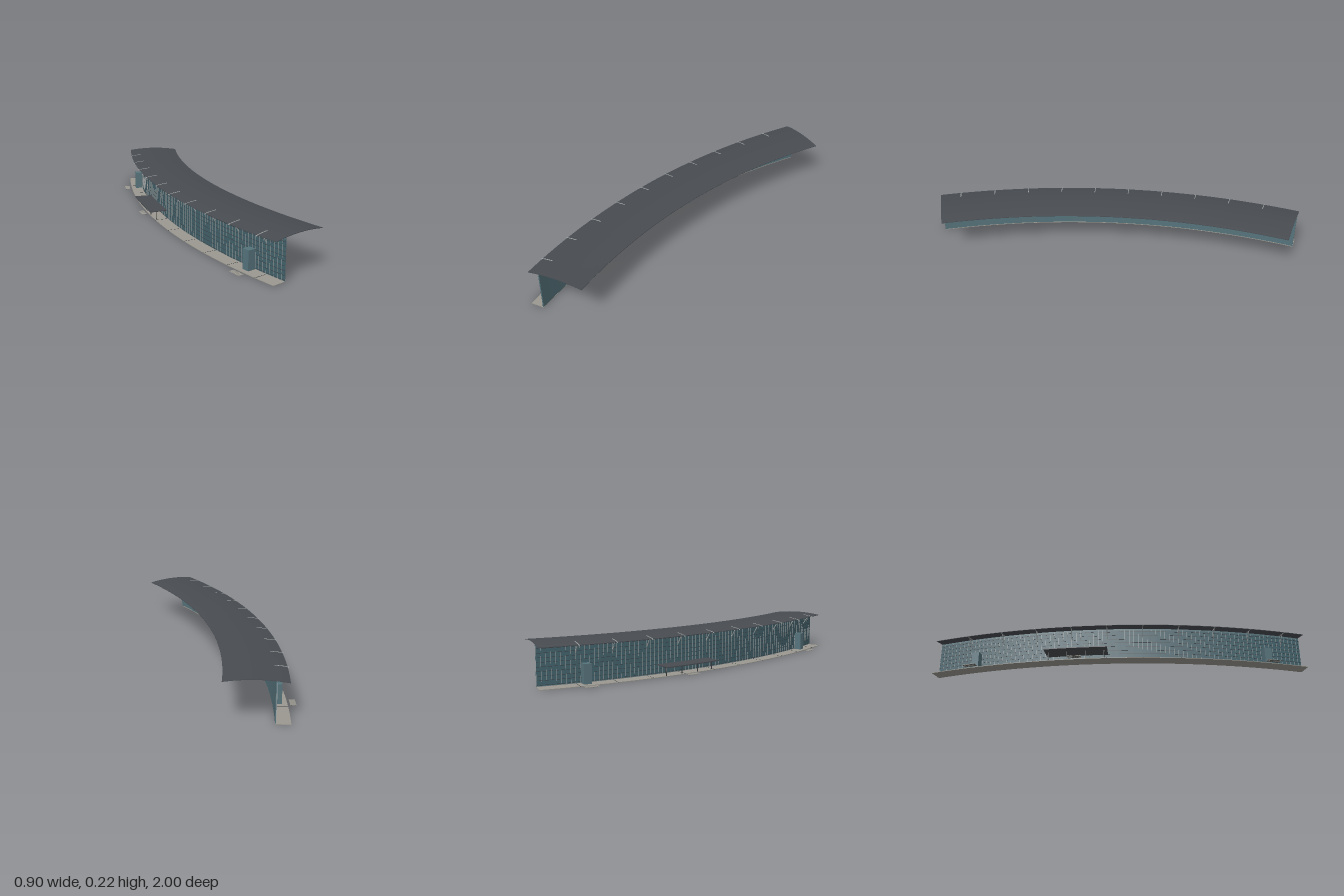
import * as THREE from 'three';

// The whole building is swept around one vertical axis
const CX = 3.078, CZ = 0.952;
const START = -0.75, END = 34;
const WALL = 3.42;

const at = (r, y, deg) => {
  const a = THREE.MathUtils.degToRad(deg);
  return [CX - r * Math.cos(a), y, CZ - r * Math.sin(a)];
};

// Sweeps a closed counter-clockwise (radius, height) profile between two angles
function arcGeometry(profile, a0, a1, steps) {
  const pos = [], index = [];
  profile.forEach((p, i) => {
    const q = profile[(i + 1) % profile.length];
    const base = pos.length / 3;
    for (let s = 0; s <= steps; s++) {
      const a = a0 + (a1 - a0) * s / steps;
      pos.push(...at(p[0], p[1], a), ...at(q[0], q[1], a));
      if (s < steps) {
        const k = base + s * 2;
        index.push(k, k + 1, k + 3, k, k + 3, k + 2);
      }
    }
  });
  const faces = THREE.ShapeUtils.triangulateShape(profile.map(p => new THREE.Vector2(...p)), []);
  for (const [a, flip] of [[a0, true], [a1, false]]) {
    const base = pos.length / 3;
    profile.forEach(p => pos.push(...at(p[0], p[1], a)));
    for (const [i, j, k] of faces) {
      index.push(base + i, base + (flip ? k : j), base + (flip ? j : k));
    }
  }
  const g = new THREE.BufferGeometry();
  g.setAttribute('position', new THREE.Float32BufferAttribute(pos, 3));
  g.setIndex(index);
  g.computeVertexNormals();
  return g;
}

const rect = (r0, r1, y0, y1) => [[r0, y0], [r1, y0], [r1, y1], [r0, y1]];

export function createModel() {
  const model = new THREE.Group();
  model.name = 'curvedPavilion';
  const material = (name, color) => {
    const m = new THREE.MeshStandardMaterial({ color });
    m.name = name;
    return m;
  };
  const teal = material('tealWall', 0x56737b);
  const glass = material('darkTealGlass', 0x43626b);
  const roofGrey = material('roofGrey', 0x484c51);
  const paving = material('pavingGrey', 0x9a9890);
  const metal = material('lightMetal', 0xa3a8a8);
  const dark = material('darkJoint', 0x3a3d40);

  const add = (name, mat, profile, a0 = START, a1 = END, steps = 48, parent = model) => {
    const mesh = new THREE.Mesh(arcGeometry(profile, a0, a1, steps), mat);
    mesh.name = name;
    parent.add(mesh);
    return mesh;
  };
  const group = name => {
    const g = new THREE.Group();
    g.name = name;
    model.add(g);
    return g;
  };

  // Shallow arched roof shell
  const R0 = 3.175, R1 = 3.481, N = 16;
  const roofY = r => {
    const u = (r - (R0 + R1) / 2) / ((R1 - R0) / 2);
    return 0.202 + 0.0125 * (1 - u * u);
  };
  const under = [], over = [];
  for (let i = 0; i <= N; i++) {
    const r = R0 + (R1 - R0) * i / N;
    under.push([r, roofY(r)]);
    over.unshift([r, roofY(r) + 0.0025]);
  }
  add('roof', roofGrey, [...under, ...over]);

  // Wall, glazed outer skin and ground strip
  add('wall', teal, rect(WALL - 0.004, WALL, 0.005, 0.209));
  add('glazing', glass, rect(WALL, WALL + 0.0015, 0.008, 0.2));
  add('walkway', paving, rect(WALL - 0.003, 3.49, 0, 0.003));

  // Glazing grid: thin rails and mullions
  const grid = group('glazingGrid');
  for (let i = 0; i <= 8; i++) {
    const y = 0.01 + i * 0.0225;
    add('rail', dark, rect(WALL, WALL + 0.0025, y, y + 0.0015), START, END, 48, grid);
  }
  const BAY = 3.28, FIRST = 1.18;
  for (let a = FIRST - BAY / 2; a < END; a += BAY / 8) {
    if (a > START) add('mullion', metal, rect(WALL, WALL + 0.003, 0.006, 0.202), a, a + 0.022, 1, grid);
  }

  // Roof ribs, diagonal struts and paving joints at each bay
  const brackets = group('roofBrackets'), joints = group('pavingJoints');
  for (let i = 0; i < 10; i++) {
    const a = FIRST + i * BAY, w = 0.03;
    add('rib', metal, [[3.42, 0.207], [3.488, 0.2], [3.488, 0.2045], [3.46, 0.2095], [3.42, 0.2145]],
      a - w, a + w, 1, brackets);
    add('strut', metal, [[WALL, 0.153], [WALL + 0.004, 0.153], [3.457, 0.204], [3.452, 0.204]],
      a - w, a + w, 1, brackets);
    add('strutFixing', dark, rect(WALL - 0.006, WALL + 0.004, 0.154, 0.158), a - w, a + w, 1, brackets);
    add('joint', dark, rect(WALL + 0.003, 3.4905, 0.002, 0.0035), a - 0.02, a + 0.02, 1, joints);
  }

  // Two small entrance boxes against the wall
  for (const a of [2.8, 29.9]) {
    add('entranceBox', teal, rect(WALL, 3.463, 0.003, 0.105), a - 0.34, a + 0.34, 1);
  }

  // Low canopy on posts
  const canopy = group('canopy');
  add('canopySlab', roofGrey, rect(WALL, 3.522, 0.052, 0.057), 17.5, 23.1, 8, canopy);
  for (const a of [17.8, 19.45, 21.15, 22.8]) {
    add('canopyPost', dark, rect(3.48, 3.484, 0.003, 0.052), a - 0.03, a + 0.03, 1, canopy);
  }

  // Slatted ground mats outside each entrance
  for (const a of [2.8, 20.35, 29.9]) {
    const mat = group('groundMat');
    for (let i = 0; i < 6; i++) {
      const s = a - 0.58 + i * 0.2;
      add('slat', paving, rect(3.502, 3.532, 0.001, 0.003), s, s + 0.16, 1, mat);
    }
    for (const r of [3.506, 3.524]) {
      add('runner', dark, rect(r, r + 0.004, 0, 0.001), a - 0.58, a + 0.58, 1, mat);
    }
  }
  return model;
}
